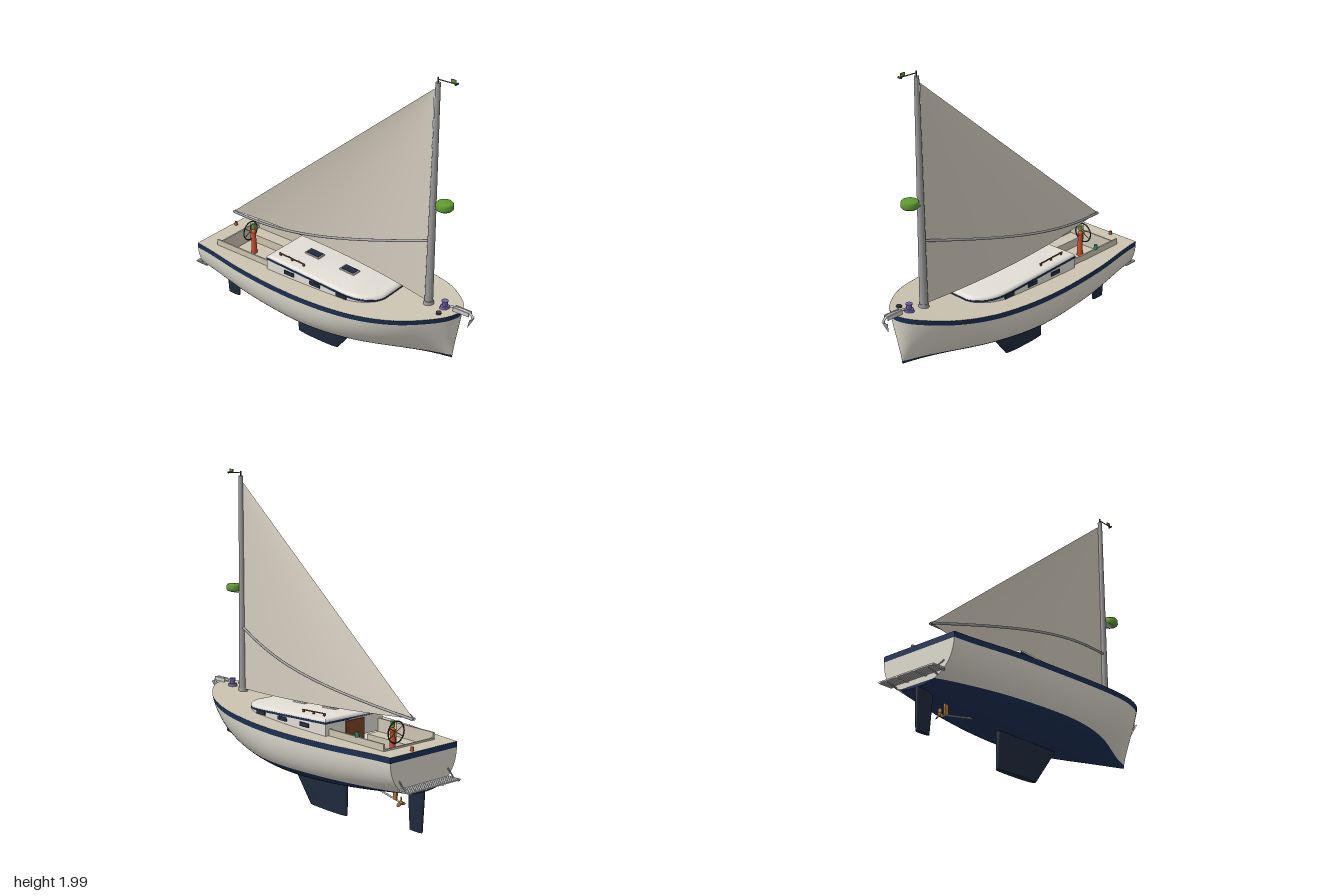
import * as THREE from 'three';
import { toCreasedNormals } from 'three/addons/utils/BufferGeometryUtils.js';

const V = (x, y, z = 0) => new THREE.Vector3(x, y, z);
const mat = (color) => new THREE.MeshStandardMaterial({ color, side: THREE.DoubleSide });
const M = {
  hull: mat(0xdcd8cc), deck: mat(0xcdc4b2), cabin: mat(0xe2ded6), navy: mat(0x1c2f55), keel: mat(0x1f2a3d),
  glass: mat(0x222c40), sail: mat(0xd3cbbd), metal: mat(0xcccccc), spar: mat(0x9a9a9c), dark: mat(0x3a3d42),
  green: mat(0x5f9a30), red: mat(0xc8502c), wood: mat(0x7a4526), bronze: mat(0xb07a3a), purple: mat(0x6f63a8), teal: mat(0x2c8a70),
};

// Hull lines: q runs 0 (transom) to 1 (stem), packed closer at the bow
const beam = new THREE.SplineCurve([.26, .325, .356, .357, .328, .262, .167, .08, 0].map((w, i) => new THREE.Vector2(i, w)));
const halfBeam = (q) => Math.max(0, beam.getPoint(q).y);
const along = (q) => 1 - (1 - q) ** 2;
const deckX = (q) => -.915 + 1.815 * along(q);
const qAt = (x) => 1 - Math.sqrt((.9 - x) / 1.815);
const sheerAt = (x) => .535 + .085 * Math.max(0, (x + .3) / 1.2) ** 2;
const sheer = (q) => sheerAt(deckX(q));
const keelLine = (q) => .215 + .08 * Math.abs(deckX(q) / .91) ** 1.9;

function hullPoint(q, y, side) {
  const k = keelLine(q), t = THREE.MathUtils.clamp((y - k) / (sheer(q) - k), 0, 1);
  const p = THREE.MathUtils.lerp(2.5, 1.35, THREE.MathUtils.smoothstep(along(q), .45, 1));
  const stem = .86 + .04 * (y - .29) / .33;
  return V(-.915 + (stem + .915) * along(q), y, side * halfBeam(q) * (1 - (1 - t) ** p) ** (1 / p));
}

// Surface from a rule f(u, v)
function grid(nu, nv, f) {
  const pos = [], idx = [];
  for (let i = 0; i <= nu; i++) for (let j = 0; j <= nv; j++) pos.push(...f(i / nu, j / nv).toArray());
  for (let i = 0; i < nu; i++) for (let j = 0; j < nv; j++) {
    const a = i * (nv + 1) + j, b = a + nv + 1;
    idx.push(a, b, a + 1, b, b + 1, a + 1);
  }
  const g = new THREE.BufferGeometry();
  g.setAttribute('position', new THREE.Float32BufferAttribute(pos, 3));
  g.setIndex(idx);
  g.computeVertexNormals();
  return g;
}

export function createModel() {
  const boat = new THREE.Group();
  boat.name = 'sailboat';
  const add = (name, geo, m, x = 0, y = 0, z = 0) => {
    const mesh = new THREE.Mesh(geo, m);
    mesh.name = name;
    mesh.position.set(x, y, z);
    boat.add(mesh);
    return mesh;
  };
  const box = (name, m, x0, x1, y0, y1, z0, z1) =>
    add(name, new THREE.BoxGeometry(x1 - x0, y1 - y0, z1 - z0), m, (x0 + x1) / 2, (y0 + y1) / 2, (z0 + z1) / 2);
  const tube = (name, m, pts, r, n = 24) =>
    add(name, new THREE.TubeGeometry(new THREE.CatmullRomCurve3(pts), n, r, 8), m);
  const rod = (name, m, a, b, r) => tube(name, m, [a, b], r, 1);
  const cyl = (name, m, r0, r1, h, x, y, z = 0) => add(name, new THREE.CylinderGeometry(r1, r0, h, 20), m, x, y, z);

  // Hull in three painted strakes, with matching transom panels
  const strakes = [
    ['bottom', M.navy, keelLine, () => .312, 12],
    ['topside', M.hull, () => .312, (q) => sheer(q) - .033, 12],
    ['sheerBand', M.navy, (q) => sheer(q) - .033, sheer, 2],
  ];
  for (const [name, m, lo, hi, n] of strakes) {
    const at = (q, v, s) => hullPoint(q, lo(q) + (hi(q) - lo(q)) * (name === 'bottom' ? v * v : v), s);
    for (const s of [1, -1]) add(name, grid(56, n, (q, v) => at(q, v, s)), m);
    add(name + 'Transom', grid(2, n, (u, v) => at(0, v, 1).multiply(V(1, 1, u * 2 - 1))), m);
  }

  // Deck around the cockpit opening
  const qa = qAt(-.8), qb = qAt(-.36);
  for (const [q0, q1, inner] of [[0, qa, 0], [qa, qb, .19], [qb, 1, 0]])
    for (const s of [1, -1])
      add('deck', grid(24, 2, (u, v) => {
        const q = q0 + (q1 - q0) * u;
        return V(deckX(q), sheer(q), s * THREE.MathUtils.lerp(inner, halfBeam(q), v));
      }), M.deck);

  // Cockpit
  box('cockpitFloor', M.deck, -.8, -.36, .43, .44, -.19, .19);
  box('cockpitAftWall', M.deck, -.805, -.795, .43, .545, -.195, .195);
  for (const s of [1, -1]) {
    box('coaming', M.deck, -.8, -.35, .43, .575, s * .193 - .005, s * .193 + .005);
    box('cockpitSeat', M.deck, -.8, -.36, .44, .495, s * .145 - .045, s * .145 + .045);
  }

  // Cabin slabs share one rounded outline; their tops slope down forward
  const outline = (o) => {
    const s = new THREE.Shape(), w = .222 + o, f = .436 + o;
    s.moveTo(-.36, -w).lineTo(.22, -w).bezierCurveTo(.33, -w, .42, -.17, f, -.09);
    s.lineTo(f, .09).bezierCurveTo(.42, .17, .33, w, .22, w).lineTo(-.36, w);
    return s;
  };
  const slab = (name, m, o, y0, y1, bevel) => {
    let g = new THREE.ExtrudeGeometry(outline(o), {
      depth: y1 - y0 - bevel, curveSegments: 14, bevelEnabled: bevel > 0,
      bevelThickness: bevel, bevelSize: bevel, bevelOffset: -bevel, bevelSegments: 5,
    });
    g.rotateX(-Math.PI / 2).translate(0, y0, 0);
    const p = g.attributes.position;
    for (let i = 0; i < p.count; i++) p.setY(i, p.getY(i) - .05 * (p.getX(i) + .36));
    add(name, toCreasedNormals(g, .6), m);
  };
  slab('cabinSide', M.cabin, 0, .5, .606, 0);
  slab('cabinTrim', M.navy, .004, .603, .615, 0);
  slab('cabinRoof', M.cabin, .002, .61, .635, .022);
  box('companionway', M.wood, -.368, -.36, .45, .6, -.07, .07);

  // Cabin windows, grab rails and roof hatches
  const roofY = (x) => .635 - .05 * (x + .36);
  for (const s of [1, -1]) {
    for (const x of [-.18, .02, .22])
      box('window', M.glass, x - .038, x + .038, .556, .58, s * .223 - .005, s * .223 + .005);
    rod('grabRail', M.wood, V(-.3, roofY(-.3) + .014, s * .17), V(-.1, roofY(-.1) + .014, s * .17), .004);
    for (const x of [-.29, -.2, -.11]) box('railFoot', M.wood, x - .006, x + .006, roofY(x) - .004, roofY(x) + .014, s * .17 - .004, s * .17 + .004);
  }
  for (const x of [-.145, .125]) {
    const frame = box('hatchFrame', M.metal, x - .054, x + .054, roofY(x) - .006, roofY(x) + .008, -.01, .052);
    const pane = box('hatchGlass', M.glass, x - .046, x + .046, roofY(x) - .004, roofY(x) + .011, -.004, .046);
    frame.rotation.z = pane.rotation.z = -.05;
  }

  // Keel and rudder: tapered foils
  const foil = (top, bottom, half0, half1) => {
    const g = grid(4, 40, (u, v) => {
      const a = v * Math.PI * 2, c = (1 + Math.cos(a)) / 2;
      const x0 = THREE.MathUtils.lerp(bottom[0], top[0], u), x1 = THREE.MathUtils.lerp(bottom[1], top[1], u);
      const thick = THREE.MathUtils.lerp(half1, half0, u) * Math.sign(Math.sin(a)) * Math.abs(Math.sin(a)) ** .6;
      return V(x0 + (x1 - x0) * c, THREE.MathUtils.lerp(bottom[2], top[2], u), thick);
    });
    return g;
  };
  const foilCap = (x0, x1, half, y) => grid(30, 1, (u, v) =>
    V(x0 + (x1 - x0) * (1 - Math.cos(u * Math.PI)) / 2, y, (2 * v - 1) * half * Math.abs(Math.sin(u * Math.PI)) ** .6));
  add('keel', foil([-.3, .2, .24], [-.3, .02, .005], .032, .02), M.keel);
  add('keelBase', foilCap(-.3, .02, .02, .005), M.keel);
  add('rudder', foil([-.92, -.8, .295], [-.908, -.815, .06], .018, .012), M.keel);
  add('rudderBase', foilCap(-.908, -.815, .012, .06), M.keel);
  add('rudderTop', foilCap(-.92, -.8, .018, .295), M.keel);

  // Propeller, shaft and strut
  rod('propellerShaft', M.metal, V(-.5, .24), V(-.745, .193), .005);
  box('shaftStrut', M.bronze, -.71, -.685, .2, .275, -.006, .006);
  add('propellerHub', new THREE.SphereGeometry(.011, 14, 10), M.bronze, -.742, .194);
  for (let i = 0; i < 3; i++) {
    const blade = new THREE.SphereGeometry(1, 12, 8).scale(.004, .017, .011).rotateY(.6).translate(0, .019, 0);
    add('propellerBlade', blade.rotateX(i * Math.PI * 2 / 3), M.bronze, -.742, .194);
  }

  // Boarding platform with slats and braces
  for (let i = 0; i < 6; i++) box('platformSlat', M.metal, -.998 + i * .014, -.987 + i * .014, .342, .35, -.2, .2);
  for (const z of [-.19, -.065, .065, .19]) box('platformBeam', M.metal, -.998, -.91, .338, .344, z - .006, z + .006);
  for (const s of [1, -1]) {
    rod('platformBrace', M.spar, V(-.99, .346, s * .15), V(-.912, .325, s * .15), .004);
    rod('platformStay', M.spar, V(-.96, .348, s * .19), V(-.912, .395, s * .19), .004);
  }

  // Mast, vane and radar
  cyl('mast', M.spar, .025, .014, 1.37, .685, 1.265);
  cyl('mastFoot', M.spar, .032, .028, .03, .685, .6);
  cyl('mastPin', M.dark, .004, .004, .04, .685, 1.96);
  rod('vaneArm', M.dark, V(.685, 1.968), V(.8, 1.968), .003);
  box('vaneFlag', M.green, .765, .795, 1.972, 1.99, -.003, .003);
  rod('vaneCups', M.dark, V(.8, 1.968, -.012), V(.8, 1.968, .012), .006);
  add('radarDome', new THREE.LatheGeometry([[0, -.022], [.044, -.022], [.051, -.014], [.051, .012], [.043, .022], [0, .024]]
    .map(([r, y]) => new THREE.Vector2(r, y)), 28), M.green, .762, 1.248);
  box('radarBracket', M.metal, .69, .78, 1.218, 1.228, -.015, .015);

  // Sail with belly, and the curved twin boom around it
  const head = V(.664, 1.91), tack = V(.664, .605), clew = V(-.83, .688);
  add('sail', grid(24, 24, (u, v) => {
    const p = tack.clone().lerp(head, v).lerp(clew.clone().lerp(head, v), u);
    p.z = -.064 * 4 * u * (1 - u) * (1 - v);
    return p;
  }), M.sail);
  for (const s of [1, -1])
    tube('wishboneBoom', M.spar, Array.from({ length: 13 }, (_, i) => {
      const p = V(.67, 1).lerp(V(-.83, .685), i / 12);
      p.z = s * (.006 + .15 * Math.sin(i / 12 * Math.PI));
      return p;
    }), .008, 40);

  // Steering pedestal and wheel
  cyl('pedestal', M.red, .02, .013, .15, -.67, .515);
  add('compass', new THREE.SphereGeometry(.017, 16, 12), M.red, -.67, .592);
  cyl('pedestalCap', M.green, .012, .012, .035, -.67, .63);
  add('wheelRim', new THREE.TorusGeometry(.062, .004, 8, 32).rotateY(Math.PI / 2), M.dark, -.697, .588);
  for (let i = 0; i < 3; i++)
    add('wheelSpoke', new THREE.CylinderGeometry(.0025, .0025, .122, 6).rotateX(i * Math.PI / 3), M.bronze, -.697, .588);
  rod('wheelAxle', M.metal, V(-.7, .588), V(-.67, .588), .005);

  // Deck fittings
  cyl('winch', M.teal, .013, .01, .03, -.59, .588, -.195);
  cyl('sternPost', M.red, .011, .008, .025, -.89, .545, -.07);
  cyl('windlassBase', M.purple, .03, .026, .018, .795, .612);
  cyl('windlassDrum', M.purple, .014, .02, .035, .795, .637);
  cyl('deckFill', M.dark, .016, .016, .014, .805, .612, .075);

  // Bow roller and anchor
  for (const s of [1, -1]) box('bowRoller', M.metal, .86, .965, .618, .642, s * .014 - .003, s * .014 + .003);
  tube('anchorShank', M.metal, [V(.83, .632), V(.95, .638), V(.982, .618), V(.965, .57)], .007);
  add('anchorFluke', grid(8, 6, (u, v) => {
    const w = (2 * v - 1), half = .032 * (1 - u);
    return V(.992 - .042 * u - .012 * Math.abs(w) * (1 - u), .61 - .08 * u, w * half);
  }), M.metal);

  return boat;
}
